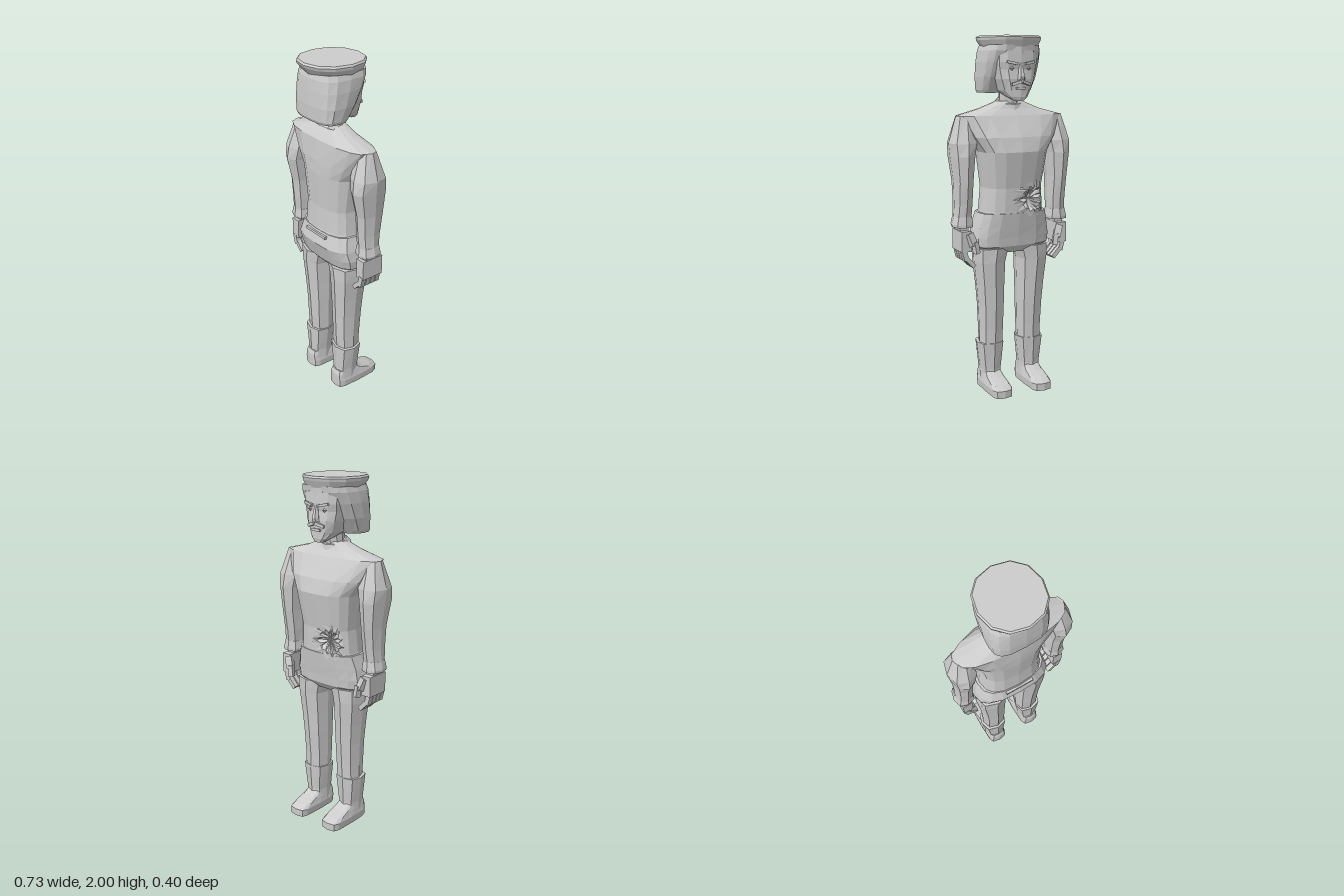
import * as THREE from 'three';

const grey = new THREE.MeshStandardMaterial({ color: 0xcccccc, flatShading: true, side: THREE.DoubleSide });
grey.name = 'plain grey';

// Point on a rounded cross-section: ring = [y, half width, back z, front z], e = squareness
function ringPoint([y, w, back, front], a, e, cx = 0, k = 1) {
  const p = (v) => Math.sign(v) * Math.pow(Math.abs(v), e);
  return [cx + w * k * p(Math.cos(a)), y, (back + front) / 2 + ((back - front) / 2) * k * p(Math.sin(a))];
}

// Skin over closed loops of points, with optional end caps and omitted panels
function skin(rows, { caps = [true, true], skip = () => false } = {}) {
  const n = rows[0].length, pos = rows.flat(2), index = [];
  for (let j = 0; j < rows.length - 1; j++) {
    for (let i = 0; i < n; i++) {
      if (skip(j, i)) continue;
      const a = j * n + i, b = j * n + ((i + 1) % n);
      index.push(a, a + n, b, b, a + n, b + n);
    }
  }
  [0, rows.length - 1].forEach((j, end) => {
    if (!caps[end]) return;
    const c = pos.length / 3;
    for (let k = 0; k < 3; k++) pos.push(rows[j].reduce((s, p) => s + p[k], 0) / n);
    for (let i = 0; i < n; i++) {
      const a = j * n + i, b = j * n + ((i + 1) % n);
      index.push(c, end ? b : a, end ? a : b);
    }
  });
  const g = new THREE.BufferGeometry();
  g.setAttribute('position', new THREE.Float32BufferAttribute(pos, 3));
  g.setIndex(index);
  g.computeVertexNormals();
  return g;
}

function loft(rings, { n = 8, e = 0.8, cx = 0, ...opts } = {}) {
  return skin(rings.map((r) => Array.from({ length: n }, (_, i) =>
    ringPoint(r, (i / n) * Math.PI * 2, e, cx + (r[4] || 0)))), opts);
}

export function createModel() {
  const model = new THREE.Group();
  model.name = 'standingFigure';
  function add(name, geometry, pos = [0, 0, 0], rot = [0, 0, 0]) {
    const m = new THREE.Mesh(geometry, grey);
    m.name = name;
    m.position.set(...pos);
    m.rotation.set(...rot);
    model.add(m);
    return m;
  }
  const box = (name, size, pos, rot) => add(name, new THREE.BoxGeometry(...size), pos, rot);

  // Torso, with panels left out where the belly is torn
  const torso = [
    [1.02, 0.19, 0.125, -0.127], [1.05, 0.183, 0.118, -0.127], [1.18, 0.172, 0.113, -0.132],
    [1.38, 0.2, 0.125, -0.165], [1.46, 0.255, 0.124, -0.145], [1.575, 0.315, 0.115, -0.085],
    [1.61, 0.18, 0.09, -0.06], [1.65, 0.075, 0.06, -0.04],
  ];
  add('torso', loft(torso, { n: 16, e: 0.75, skip: (j, i) => j === 1 && (i === 10 || i === 11) }));

  // Torn hollow: ragged rim, crumpled wall, sunken middle
  const onTorso = (y, a, k) => {
    let j = 0;
    while (j < torso.length - 2 && torso[j + 1][0] < y) j++;
    const t = (y - torso[j][0]) / (torso[j + 1][0] - torso[j][0]);
    return ringPoint(torso[j].map((v, q) => v + (torso[j + 1][q] - v) * t), a, 0.75, 0, k);
  };
  const tear = [[1.5, 1.02, 0.2], [1.05, 1.03, 0.16], [0.8, 0.88, 0.25], [0.35, 0.78, 0.1]].map(([r, k, jag], row) =>
    Array.from({ length: 26 }, (_, i) => {
      const t = (-i / 26) * Math.PI * 2, q = r + jag * Math.sin(i * 2.7 + row);
      return onTorso(1.115 + 0.065 * q * Math.sin(t), 4.32 + 0.36 * q * Math.cos(t),
        k + (row ? 0.03 * Math.sin(i * 4.1 + row * 2) : 0));
    }));
  add('tornBelly', skin(tear, { caps: [false, true] }));

  // Hips with the shirt hem and waistband
  add('hips', loft([
    [0.81, 0.17, 0.07, -0.07], [0.85, 0.226, 0.105, -0.102], [0.9, 0.232, 0.122, -0.108],
    [0.96, 0.222, 0.143, -0.118], [1.04, 0.2, 0.122, -0.13],
  ], { n: 16, e: 0.72 }));
  box('waistband', [0.17, 0.016, 0.02], [0, 1.02, 0.125]);

  // Neck and tilted collar
  add('neck', loft([[1.58, 0.06, 0.07, -0.04], [1.72, 0.06, 0.06, -0.06]], { n: 10, e: 1 }));
  add('collar', new THREE.CylinderGeometry(0.07, 0.09, 0.035, 10), [0, 1.638, 0.012], [-0.33, 0, 0]);

  // Hair, cut away towards the face
  add('hair', loft([
    [1.695, 0.15, 0.165, 0.0], [1.71, 0.157, 0.172, -0.01], [1.78, 0.166, 0.175, -0.06],
    [1.86, 0.166, 0.172, -0.105], [1.92, 0.16, 0.168, -0.135], [1.95, 0.15, 0.16, -0.14],
  ], { n: 16, e: 0.65 }));

  // Flat-topped cap
  add('cap', loft([
    [1.9, 0.158, 0.168, -0.142], [1.94, 0.152, 0.165, -0.142],
    [1.975, 0.172, 0.192, -0.158], [1.99, 0.174, 0.198, -0.162], [2, 0.166, 0.19, -0.154],
  ], { n: 12, e: 0.92 }));

  // Face and its features
  add('face', loft([
    [1.655, 0.028, -0.09, -0.13], [1.675, 0.055, -0.04, -0.135], [1.71, 0.085, 0.05, -0.136],
    [1.77, 0.108, 0.05, -0.14], [1.82, 0.118, 0.05, -0.134], [1.86, 0.125, 0.05, -0.142], [1.92, 0.125, 0.05, -0.14],
  ], { n: 12, e: 0.75 }));
  add('nose', loft([
    [1.765, 0.022, -0.12, -0.155], [1.785, 0.02, -0.12, -0.162], [1.85, 0.009, -0.12, -0.145],
  ], { n: 6, e: 0.9 }));
  box('mouth', [0.055, 0.014, 0.012], [0, 1.722, -0.137]);
  for (const s of [-1, 1]) {
    box('moustache', [0.055, 0.016, 0.02], [s * 0.027, 1.75, -0.141], [0, s * -0.25, s * -0.3]);
    box('eyebrow', [0.06, 0.014, 0.018], [s * 0.052, 1.856, -0.137], [0, s * -0.2, s * 0.2]);
    add('eye', new THREE.OctahedronGeometry(0.016), [s * 0.05, 1.828, -0.125]);
  }

  for (const s of [-1, 1]) {
    // Arm, cuff and hand (fifth number shifts the ring sideways)
    add('arm', loft([
      [0.99, 0.05, 0.058, -0.055, s * 0.295], [1.1, 0.05, 0.068, -0.07, s * 0.29],
      [1.22, 0.052, 0.078, -0.088, s * 0.291], [1.36, 0.066, 0.11, -0.1, s * 0.292],
      [1.43, 0.078, 0.1, -0.09, s * 0.287], [1.575, 0.05, 0.05, -0.04, s * 0.272],
    ], { e: 0.85 }));
    add('cuff', loft([
      [0.97, 0.058, 0.064, -0.066, s * 0.295], [0.985, 0.06, 0.066, -0.066, s * 0.295], [1.03, 0.05, 0.06, -0.06, s * 0.293],
    ], { e: 0.75 }));
    box('wrist', [0.05, 0.06, 0.08], [s * 0.297, 0.955, 0]);
    box('palm', [0.058, 0.115, 0.135], [s * 0.299, 0.895, -0.008]);
    for (let f = 0; f < 4; f++) {
      const z = 0.047 - f * 0.034, drop = f === 0 ? 0.008 : 0;
      box('fingerBase', [0.028, 0.065, 0.029], [s * 0.303, 0.818, z], [0, 0, s * -0.25]);
      box('fingerTip', [0.025, 0.065, 0.027], [s * 0.27, 0.772 + drop, z], [0, 0, s * -0.75]);
    }
    box('thumbBase', [0.04, 0.07, 0.035], [s * 0.272, 0.905, -0.075], [0.3, s * 0.3, s * -0.35]);
    box('thumbTip', [0.028, 0.065, 0.03], [s * 0.25, 0.86, -0.087], [0.1, s * 0.3, s * -0.15]);

    // Leg, boot shaft and shoe
    add('leg', loft([
      [0.26, 0.068, 0.075, -0.062, s * 0.122], [0.36, 0.07, 0.082, -0.066, s * 0.121],
      [0.5, 0.074, 0.088, -0.076, s * 0.122], [0.62, 0.08, 0.095, -0.084, s * 0.126],
      [0.76, 0.09, 0.105, -0.096, s * 0.132], [0.84, 0.103, 0.108, -0.1, s * 0.123],
    ], { e: 0.8 }));
    add('bootShaft', loft([
      [0.05, 0.06, 0.088, -0.06, s * 0.124], [0.12, 0.06, 0.085, -0.055, s * 0.125], [0.28, 0.08, 0.09, -0.065, s * 0.126],
    ], { e: 0.75 }));
    add('shoe', loft([
      [0, 0.06, 0.1, -0.2], [0.042, 0.063, 0.1, -0.2], [0.062, 0.058, 0.1, -0.16],
      [0.085, 0.054, 0.098, -0.09], [0.11, 0.048, 0.088, -0.05],
    ], { n: 12, e: 0.45, cx: s * 0.125 }));
  }
  return model;
}
